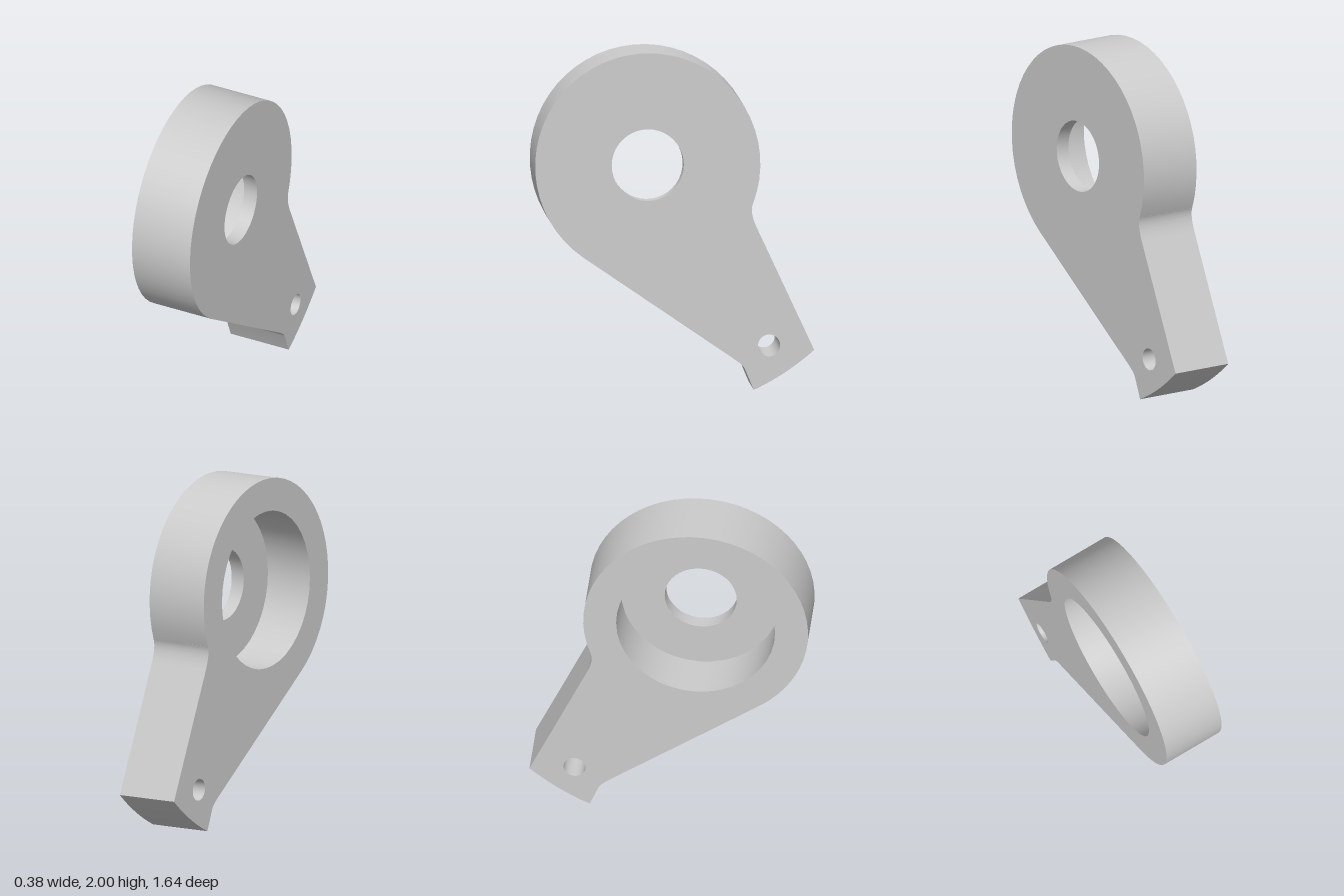
import * as THREE from 'three';
import { toCreasedNormals } from 'three/addons/utils/BufferGeometryUtils.js';

// Plate profile lies in (u, v) = (-z, y) and is swept along x.
const HALF = 0.19;         // half the plate thickness
const FLOOR = 0.105;       // x of the counterbore floor
const C = [-0.159, 1.338]; // centre of the round head
const HEAD_R = 0.662, TIP_R = 1.476, BORE_R = 0.468, HOLE_R = 0.212;
const PIN = [0.554, 0.262], PIN_R = 0.065;
const DIV = 20;

const angle = (u, v) => Math.atan2(v - C[1], u - C[0]);

function outline() {
  const s = new THREE.Shape();
  s.moveTo(-0.536, 0.794);
  s.lineTo(0.355, 0.18);                         // lower flank
  s.quadraticCurveTo(0.402, 0.147, 0.413, 0.122); // toe fillet
  s.lineTo(0.464, 0);
  s.absarc(...C, TIP_R, angle(0.464, 0), angle(0.819, 0.233), false); // tip, concentric with head
  s.lineTo(0.482, 0.96);                         // upper flank
  s.quadraticCurveTo(0.44, 1.05, 0.459, 1.1);    // neck fillet
  s.absarc(...C, HEAD_R, angle(0.459, 1.1), angle(-0.536, 0.794), false);
  return s;
}

function circle(Type, [u, v], r, clockwise) {
  const p = new Type();
  p.absarc(u, v, r, 0, Math.PI * 2, clockwise);
  return p;
}
const hole = (centre, r) => circle(THREE.Path, centre, r, true);

// Flat face at depth x, looking along +x or (flipped) -x
function face(shape, holes, x, flip) {
  shape.holes = holes;
  const g = new THREE.ShapeGeometry(shape, DIV);
  if (flip) {
    g.index.array.reverse();
    g.computeVertexNormals();
  }
  return g.translate(0, 0, x);
}

// Wall swept along a closed path from x0 to x1
function wall(path, x0, x1) {
  const pts = path.getPoints(DIV), pos = [];
  pts.forEach((p, i) => {
    const q = pts[(i + 1) % pts.length];
    if (p.distanceTo(q) < 1e-5) return;
    pos.push(p.x, p.y, x0, q.x, q.y, x0, q.x, q.y, x1);
    pos.push(p.x, p.y, x0, q.x, q.y, x1, p.x, p.y, x1);
  });
  const g = new THREE.BufferGeometry();
  g.setAttribute('position', new THREE.Float32BufferAttribute(pos, 3));
  return toCreasedNormals(g, 0.45);
}

export function createModel() {
  const group = new THREE.Group();
  group.name = 'leverPlate';
  const material = new THREE.MeshStandardMaterial({ color: 0xcccccc });
  const add = (name, geometry) => {
    const mesh = new THREE.Mesh(geometry.rotateY(Math.PI / 2), material);
    mesh.name = name;
    group.add(mesh);
  };

  const through = hole(C, HOLE_R), bore = hole(C, BORE_R), pin = hole(PIN, PIN_R);

  // Side faces: small hole on +x, wide counterbore on -x
  add('leftFace', face(outline(), [through, pin], HALF, false));
  add('rightFace', face(outline(), [bore, pin], -HALF, true));
  add('counterboreFloor', face(circle(THREE.Shape, C, BORE_R, false), [through], FLOOR, true));

  // Outer rim and the inner walls of the openings
  add('outerRim', wall(outline(), -HALF, HALF));
  add('counterboreWall', wall(bore, -HALF, FLOOR));
  add('throughHoleWall', wall(through, FLOOR, HALF));
  add('pinHoleWall', wall(pin, -HALF, HALF));
  return group;
}
